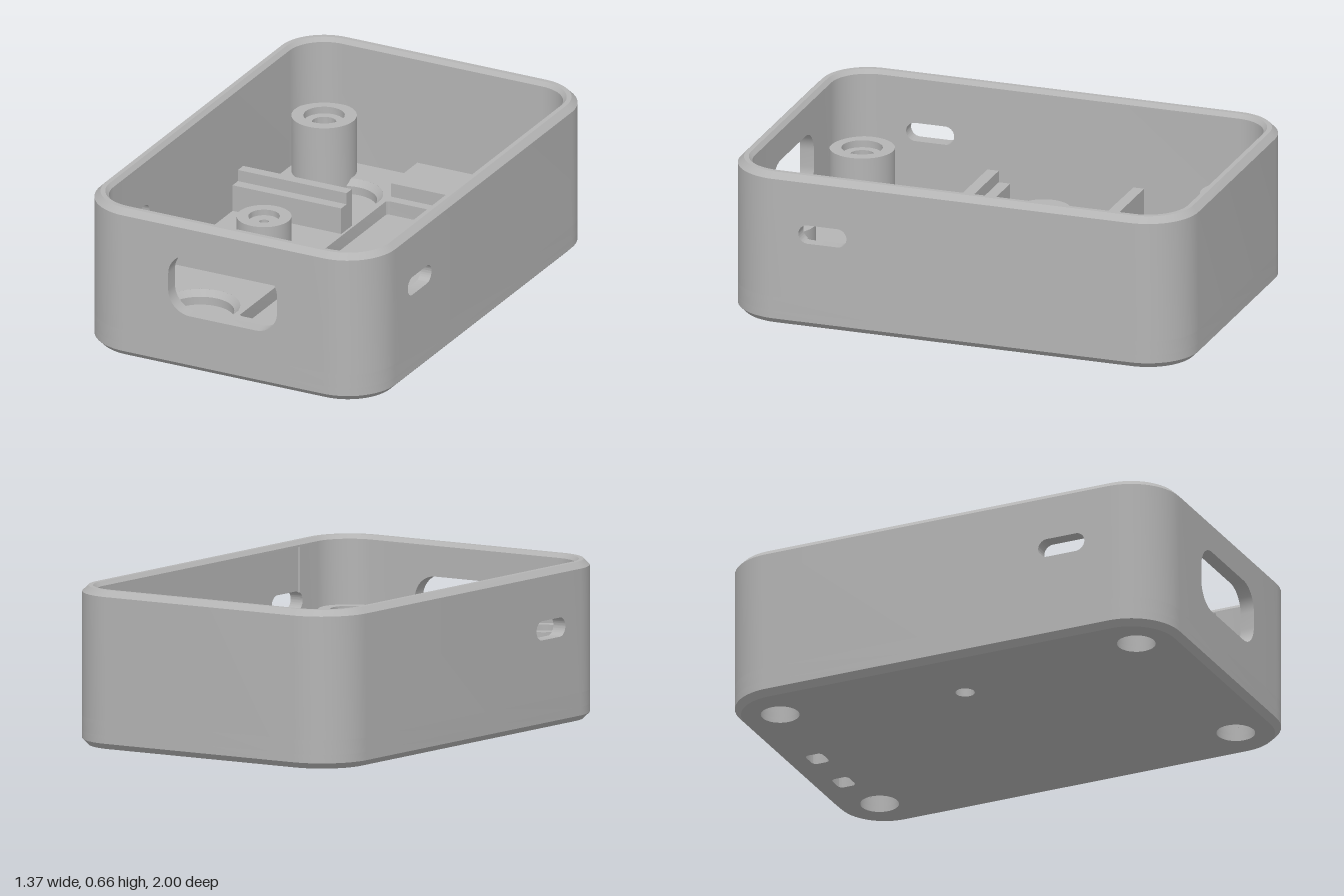
import * as THREE from 'three';
import { toCreasedNormals } from 'three/addons/utils/BufferGeometryUtils.js';

const HX = 0.685, HZ = 1, R = 0.22, WALL = 0.06;
const CHAMFER = 0.025, POCKET_Y = 0.06, FLOOR = 0.12, WALL_TOP = 0.635, TOP = 0.66;
const V = (x, y) => new THREE.Vector2(x, y);

export function createModel() {
  const group = new THREE.Group();
  const grey = new THREE.MeshStandardMaterial({ color: 0xb4b4b4, side: THREE.DoubleSide });
  grey.name = 'grey plastic';

  const add = (name, geo) => {
    const mesh = new THREE.Mesh(toCreasedNormals(geo, 0.5), grey);
    mesh.name = name;
    group.add(mesh);
    return mesh;
  };

  // Points of an arc, angles in quarter turns
  const arc = (cx, cy, r, q0, q1, n = 14) => Array.from({ length: n + 1 }, (_, i) => {
    const a = (q0 + (q1 - q0) * i / n) * Math.PI / 2;
    return V(cx + r * Math.cos(a), cy + r * Math.sin(a));
  });
  const roundRect = (cx, cy, hw, hh, r) => [
    ...arc(cx + hw - r, cy + hh - r, r, 0, 1), ...arc(cx - hw + r, cy + hh - r, r, 1, 2),
    ...arc(cx - hw + r, cy - hh + r, r, 2, 3), ...arc(cx + hw - r, cy - hh + r, r, 3, 4),
  ];
  const circle = (x, y, r) => arc(x, y, r, 0, 4, 40).slice(0, -1);
  const outline = inset => roundRect(0, 0, HX - inset, HZ - inset, R - inset);

  const extrude = (points, holes, depth) => {
    const shape = new THREE.Shape(points);
    shape.holes = holes.map(h => new THREE.Path(h));
    return new THREE.ExtrudeGeometry(shape, { depth, bevelEnabled: false });
  };
  // Plan outline (x, z) raised from y0 to y1
  const slab = (name, points, holes, y0, y1) =>
    add(name, extrude(points, holes, y1 - y0).rotateX(Math.PI / 2).translate(0, y1, 0));

  // Closed profile of [inset, y] swept round the case outline
  const sweep = (name, profile) => {
    const pos = [], index = [], n = outline(0).length, m = profile.length;
    profile.forEach(([inset, y]) => outline(inset).forEach(p => pos.push(p.x, y, p.y)));
    for (let j = 0; j < m; j++) for (let i = 0; i < n; i++) {
      const i2 = (i + 1) % n, j2 = (j + 1) % m;
      const a = j * n + i, b = j * n + i2, c = j2 * n + i, d = j2 * n + i2;
      index.push(a, c, b, b, c, d);
    }
    const geo = new THREE.BufferGeometry();
    geo.setAttribute('position', new THREE.Float32BufferAttribute(pos, 3));
    geo.setIndex(index);
    add(name, geo);
  };
  const lathe = (name, profile, x, z) =>
    add(name, new THREE.LatheGeometry(profile.map(p => V(...p)), 48)).position.set(x, 0, z);
  const box = (name, x0, x1, y0, y1, z0, z1) =>
    add(name, new THREE.BoxGeometry(x1 - x0, y1 - y0, z1 - z0)
      .translate((x0 + x1) / 2, (y0 + y1) / 2, (z0 + z1) / 2));

  // Floor in layers: screw holes and strap slots below, pocket and cups above
  const posts = [[-0.48, -0.81], [0.48, -0.81], [-0.48, 0.81], [0.48, 0.81]];
  const cups = [[-0.3, -0.635], [-0.3, 0.63]];
  const boss = [-0.35, -0.03];
  const screwHoles = [...posts.map(p => circle(...p, 0.08)), circle(...boss, 0.04)];
  const strapSlots = [-0.025, 0.228].map(x => roundRect(x, -0.855, 0.045, 0.038, 0.02));
  slab('baseBottom', outline(CHAMFER), [...screwHoles, ...strapSlots], 0, CHAMFER);
  slab('baseMiddle', outline(0), [...screwHoles, ...strapSlots], CHAMFER, POCKET_Y);
  slab('floor', outline(0), [
    ...screwHoles,
    roundRect(0.1015, -0.855, 0.1715, 0.038, 0.02),
    roundRect(0.2625, -0.005, 0.3725, 0.655, 0.015),
    ...cups.map(c => circle(...c, 0.165)),
    ...cups.map(c => circle(-0.492, c[1], 0.025)),
  ], POCKET_Y, FLOOR);
  sweep('bottomChamfer', [[CHAMFER, 0], [0, CHAMFER], [CHAMFER, CHAMFER]]);

  // Chamfered top rim
  sweep('topRim', [[0, WALL_TOP], [CHAMFER, TOP], [0.045, TOP], [WALL, 0.643], [WALL, WALL_TOP]]);

  // Walls: rear U with a shallow recess on the left, two front corners
  const cx = HX - R, cz = HZ - R, ri = R - WALL, xi = HX - WALL;
  slab('rearWalls', [
    V(HX, 0.42), ...arc(cx, -cz, R, 0, -1), ...arc(-cx, -cz, R, -1, -2), V(-HX, 0.42),
    V(-xi, 0.42), ...arc(-cx, -cz, ri, -2, -1), ...arc(cx, -cz, ri, -1, 0),
    V(xi, -0.66), V(0.635, -0.66), V(0.635, 0.42),
  ], [], FLOOR, WALL_TOP);
  for (const s of [1, -1]) {
    const points = [
      V(0.3, HZ), ...arc(cx, cz, R, 1, 0), V(HX, 0.69),
      V(xi, 0.69), ...arc(cx, cz, ri, 0, 1), V(0.3, HZ - WALL),
    ].map(p => V(p.x * s, p.y));
    slab(s > 0 ? 'leftFrontCorner' : 'rightFrontCorner', points, [], FLOOR, WALL_TOP);
  }

  // Front panel with the large opening
  add('frontPanel', extrude(
    [V(-0.3, FLOOR), V(0.3, FLOOR), V(0.3, WALL_TOP), V(-0.3, WALL_TOP)],
    [roundRect(-0.002, 0.38, 0.253, 0.135, 0.1)], WALL).translate(0, 0, HZ - WALL));

  // Side panels with small slots
  const sidePanel = (name, points, holes, depth, x) =>
    add(name, extrude(points, holes, depth).rotateY(-Math.PI / 2).translate(x, 0, 0));
  const panel = [V(0.42, FLOOR), V(0.69, FLOOR), V(0.69, WALL_TOP), V(0.42, WALL_TOP)];
  const slot = roundRect(0.565, 0.41, 0.105, 0.04, 0.0399);
  sidePanel('leftPanel', panel, [slot], 0.05, HX);
  sidePanel('rightPanel', panel, [slot], WALL, -xi);
  sidePanel('leftRecessEdge', [
    V(0.65, FLOOR), V(0.69, FLOOR), V(0.69, WALL_TOP), V(0.65, WALL_TOP),
    ...arc(0.63, 0.41, 0.04, 2 / 3, -2 / 3),
  ], [], 0.01, 0.635);

  // Screw posts, counterbored at both ends
  for (const [x, z] of posts) lathe('screwPost', [
    [0.135, POCKET_Y], [0.135, 0.37], [0.085, 0.37], [0.085, 0.34], [0.05, 0.34],
    [0.05, 0.25], [0.08, 0.25], [0.08, POCKET_Y], [0.135, POCKET_Y],
  ], x, z);
  lathe('centreBoss', [
    [0.113, POCKET_Y], [0.113, 0.25], [0.065, 0.25], [0.065, 0.225], [0.02, 0.225],
    [0.02, POCKET_Y], [0.113, POCKET_Y],
  ], ...boss);

  // Round cups with a sloping edge
  for (const [x, z] of cups)
    lathe('cupLining', [[0.165, FLOOR], [0.14, 0.095], [0.14, POCKET_Y]], x, z);

  // Stepped board supports, tall side outward
  for (const [outer, mid, inner] of [[-0.37, -0.323, -0.275], [0.315, 0.265, 0.215]]) {
    box('supportTall', -xi, -0.12, FLOOR, 0.285, Math.min(outer, mid), Math.max(outer, mid));
    box('supportLow', -xi, -0.12, FLOOR, 0.235, Math.min(inner, mid), Math.max(inner, mid));
  }

  // Block covering the strap tunnel
  box('strapBlock', -0.115, 0.315, FLOOR, 0.18, -0.94, -0.705);

  return group;
}
